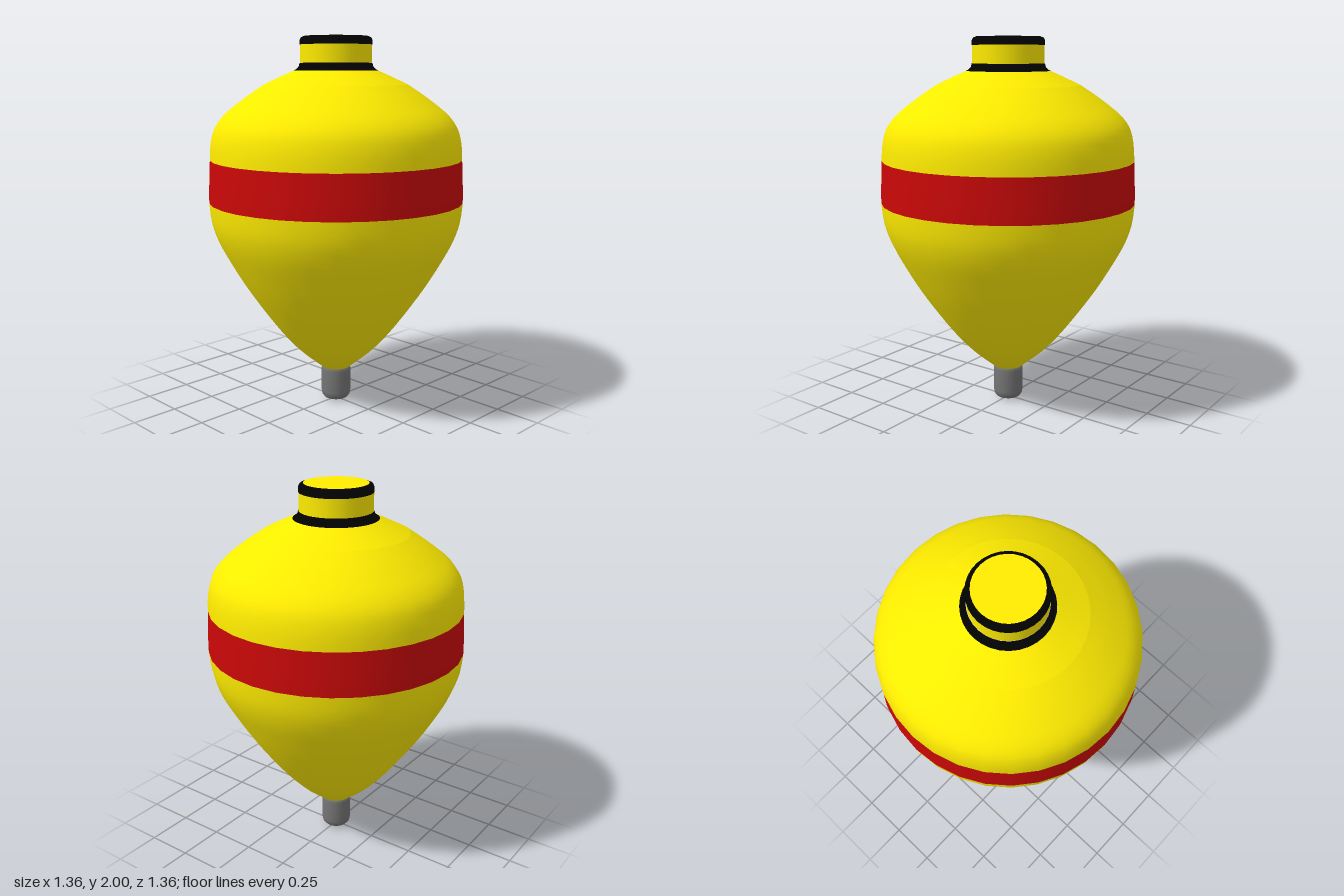
import * as THREE from 'three';

const SEGMENTS = 32;

const yellow = new THREE.MeshStandardMaterial({ color: 0xffec00 });
const red = new THREE.MeshStandardMaterial({ color: 0xca0808 });
const black = new THREE.MeshStandardMaterial({ color: 0x020202 });
const steel = new THREE.MeshStandardMaterial({ color: 0x757575 });

// Turned part: profile of [radius, height] pairs, listed from bottom to top;
// with steps given, a smooth curve is drawn through the pairs
function turned(name, material, profile, steps = 0) {
  const pairs = profile.map(([r, y]) => new THREE.Vector2(r, y));
  const points = steps ? new THREE.SplineCurve(pairs).getPoints(steps) : pairs;
  const mesh = new THREE.Mesh(new THREE.LatheGeometry(points, SEGMENTS), material);
  mesh.name = name;
  return mesh;
}

export function createModel() {
  const top = new THREE.Group();
  top.name = 'spinningTop';

  top.add(
    // Metal spinning tip with rounded ends
    turned('tip', steel, [
      [0, 0], [0.045, 0.002], [0.065, 0.01], [0.077, 0.025],
      [0.082, 0.05], [0.082, 0.175], [0.076, 0.195], [0.05, 0.203], [0, 0.203],
    ]),

    // Body below the stripe
    turned('lowerBody', yellow, [
      [0.08, 0.192], [0.2, 0.293], [0.3, 0.402], [0.395, 0.527], [0.49, 0.665],
      [0.573, 0.805], [0.635, 0.925], [0.669, 1.03], [0.681, 1.135],
    ], 24),
    turned('bodyBase', yellow, [[0, 0.192], [0.08, 0.192]]),

    // Painted stripe
    turned('stripe', red, [[0.681, 1.135], [0.68, 1.2], [0.672, 1.36]]),

    // Body above the stripe
    turned('upperBody', yellow, [
      [0.672, 1.36], [0.668, 1.43], [0.654, 1.5], [0.63, 1.55],
      [0.59, 1.597], [0.535, 1.642], [0.465, 1.694], [0.38, 1.75],
    ], 16),

    // Shoulder, meeting the body at a faint edge
    turned('shoulder', yellow, [[0.38, 1.75], [0.3, 1.788], [0.215, 1.826]]),

    // Neck with black trim at its foot and rim
    turned('neckTrim', black, [
      [0.222, 1.823], [0.208, 1.831], [0.197, 1.843], [0.192, 1.862],
    ]),
    turned('neck', yellow, [[0.19, 1.86], [0.19, 1.96]]),
    turned('rimTrim', black, [
      [0.191, 1.956], [0.191, 1.98], [0.185, 1.993], [0.167, 2],
    ]),
    turned('cap', yellow, [[0.167, 2], [0, 2]]),
  );

  return top;
}
